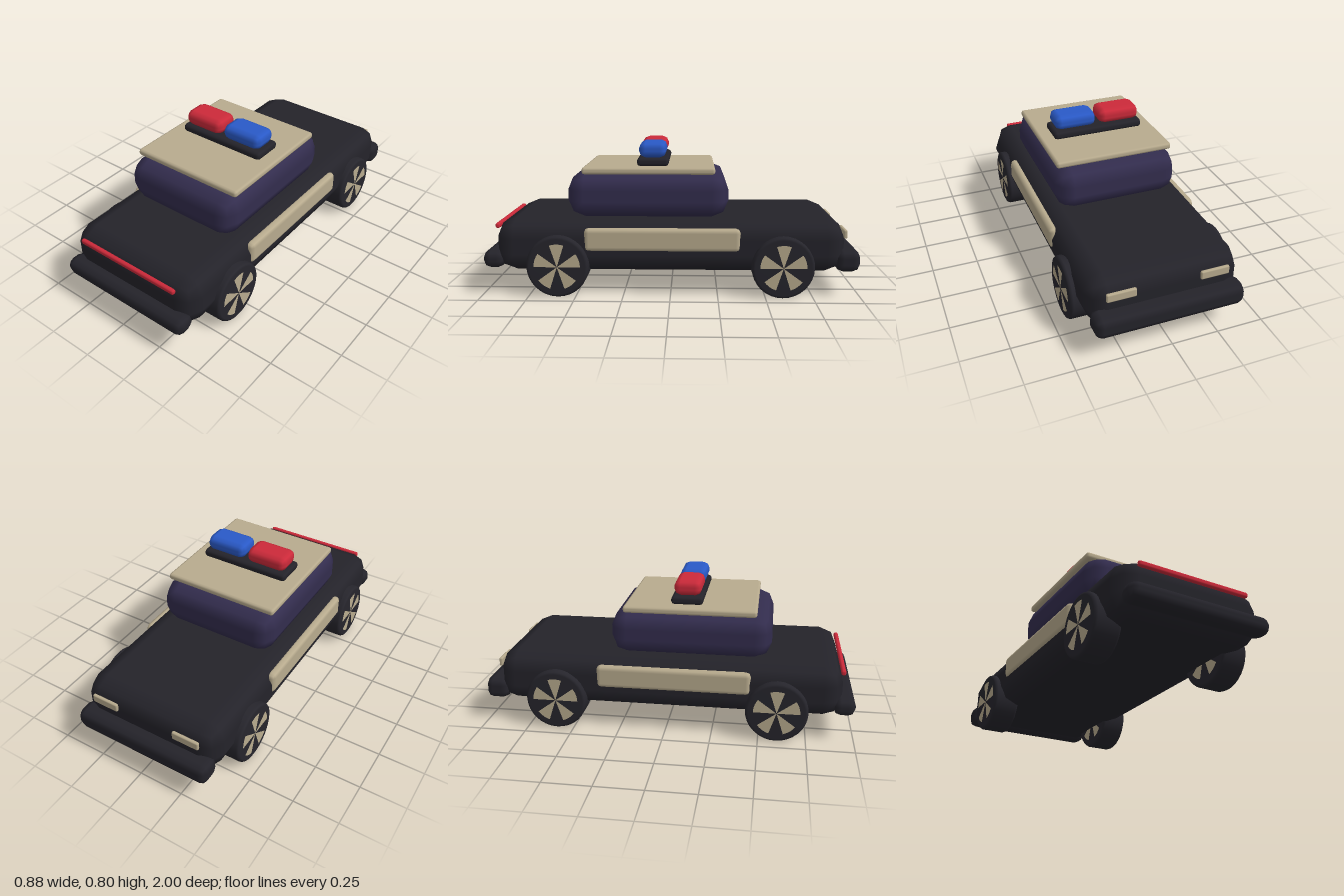
import * as THREE from 'three';
import { RoundedBoxGeometry } from 'three/addons/geometries/RoundedBoxGeometry.js';

const material = (color) => new THREE.MeshStandardMaterial({ color });

export function createModel() {
  const car = new THREE.Group();
  car.name = 'patrolCar';

  const dark = material(0x24232a);
  const tyreDark = material(0x26252c);
  const beige = material(0xb8ab8e);
  const glass = material(0x332d4e);
  const red = material(0xcc2a3a);
  const blue = material(0x2a5ac8);

  // Softly bevelled box given by its extents on each axis
  function softBox(name, mat, [x0, x1], [y0, y1], [z0, z1], radius) {
    const geometry = new RoundedBoxGeometry(x1 - x0, y1 - y0, z1 - z0, 1, radius);
    const mesh = new THREE.Mesh(geometry, mat);
    mesh.name = name;
    mesh.position.set((x0 + x1) / 2, (y0 + y1) / 2, (z0 + z1) / 2);
    car.add(mesh);
    return mesh;
  }

  // Body, cabin and roof
  softBox('body', dark, [-0.405, 0.405], [0.12, 0.402], [-0.922, 0.93], 0.1);
  softBox('cabin', glass, [-0.342, 0.342], [0.402, 0.64], [-0.307, 0.553], 0.09);
  softBox('roof', beige, [-0.326, 0.326], [0.637, 0.674], [-0.235, 0.472], 0.015);

  // Bumpers
  softBox('frontBumper', dark, [-0.393, 0.393], [0.14, 0.233], [0.885, 1], 0.04);
  softBox('rearBumper', dark, [-0.395, 0.395], [0.13, 0.246], [-1, -0.872], 0.04);

  // Light bar on the roof
  softBox('lightBarBase', dark, [-0.256, 0.256], [0.673, 0.717], [0.013, 0.184], 0.018);
  softBox('redBeacon', red, [-0.245, -0.01], [0.717, 0.8], [0.026, 0.174], 0.035);
  softBox('blueBeacon', blue, [0.008, 0.243], [0.717, 0.8], [0.026, 0.174], 0.035);

  // Light strip across the front
  softBox('frontLightStrip', red, [-0.315, 0.313], [0.343, 0.371], [0.918, 0.943], 0.01);

  // Side panels and small rear lights
  for (const side of [-1, 1]) {
    const name = side > 0 ? 'left' : 'right';
    const span = (a, b) => (side > 0 ? [a, b] : [-b, -a]);
    softBox(name + 'SidePanel', beige, span(0.365, 0.418), [0.241, 0.366], [-0.367, 0.453], 0.025);
    softBox(name + 'RearLight', beige, span(0.168, 0.322), [0.298, 0.345], [-0.938, -0.918], 0.008);
  }

  // Tyre: bevelled disc turned around its axle
  const radius = 0.164, half = 0.0735, bevel = 0.016;
  const profile = [
    [0, -half], [radius - bevel, -half], [radius - bevel * 0.3, -half + bevel * 0.3],
    [radius, -half + bevel], [radius, half - bevel],
    [radius - bevel * 0.3, half - bevel * 0.3], [radius - bevel, half], [0, half],
  ].map(([x, y]) => new THREE.Vector2(x, y));
  const tyreGeometry = new THREE.LatheGeometry(profile, 32);
  tyreGeometry.rotateZ(-Math.PI / 2);

  // One wedge of the wheel cover; five of them fill every other sector
  const spokeCount = 5;
  const sector = Math.PI / spokeCount;
  const wedgeGeometry = new THREE.CircleGeometry(0.122, 5, (Math.PI - sector) / 2, sector);

  function makeWheel(name, x, z) {
    const wheel = new THREE.Group();
    wheel.name = name;
    const tyre = new THREE.Mesh(tyreGeometry, tyreDark);
    tyre.name = 'tyre';
    wheel.add(tyre);
    for (const face of [-1, 1]) {
      const cover = new THREE.Group();
      cover.name = face * x > 0 ? 'outerCover' : 'innerCover';
      cover.position.x = face * (half + 0.0015);
      cover.rotation.y = face * Math.PI / 2;
      for (let i = 0; i < spokeCount; i++) {
        const wedge = new THREE.Mesh(wedgeGeometry, beige);
        wedge.name = 'spoke';
        wedge.rotation.z = i * sector * 2;
        cover.add(wedge);
      }
      wheel.add(cover);
    }
    wheel.position.set(x, radius, z);
    car.add(wheel);
  }

  for (const [end, z] of [['Front', 0.593], ['Rear', -0.59]]) {
    makeWheel('left' + end + 'Wheel', 0.3635, z);
    makeWheel('right' + end + 'Wheel', -0.3635, z);
  }

  return car;
}
